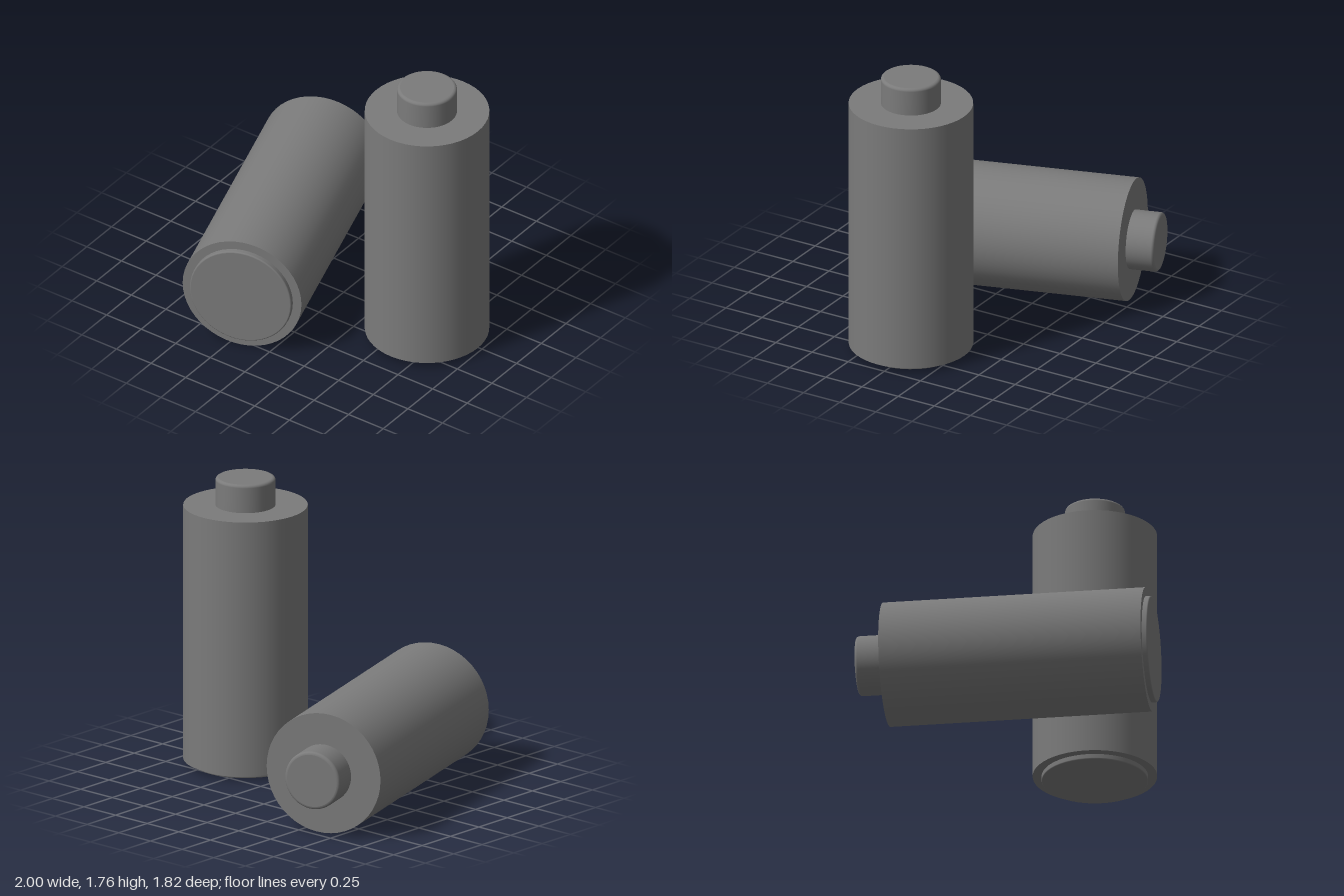
import * as THREE from 'three';
import { mergeGeometries } from 'three/addons/utils/BufferGeometryUtils.js';

const SIDES = 48;
const BODY_RADIUS = 0.367, BODY_BOTTOM = 0.032, BODY_TOP = 1.59;
const CAP_RADIUS = 0.177, CAP_TOP = 1.76, BASE_RADIUS = 0.314;

const material = new THREE.MeshStandardMaterial({ color: 0x7b7b7b });

// Disc from y0 to y1 with a rounded rim and a flat face at the y1 end (y1 may lie below y0)
function roundedDisc(radius, y0, y1, bevel) {
  const dir = Math.sign(y1 - y0);
  const points = [new THREE.Vector2(radius, y0)];
  for (let i = 0; i <= 4; i++) {
    const a = (i / 4) * Math.PI / 2;
    points.push(new THREE.Vector2(
      radius - bevel + bevel * Math.cos(a),
      y1 - dir * bevel * (1 - Math.sin(a))
    ));
  }
  if (dir < 0) points.reverse();
  const rim = new THREE.LatheGeometry(points, SIDES);
  const face = new THREE.CircleGeometry(radius - bevel, SIDES)
    .rotateX(-dir * Math.PI / 2)
    .translate(0, y1, 0);
  return mergeGeometries([rim, face]);
}

function part(name, geometry) {
  const mesh = new THREE.Mesh(geometry, material);
  mesh.name = name;
  return mesh;
}

// One battery standing on its negative end
function createBattery(name) {
  const battery = new THREE.Group();
  battery.name = name;

  const height = BODY_TOP - BODY_BOTTOM;
  const body = part('body', new THREE.CylinderGeometry(BODY_RADIUS, BODY_RADIUS, height, SIDES));
  body.position.y = BODY_BOTTOM + height / 2;

  battery.add(
    body,
    part('positiveTerminal', roundedDisc(CAP_RADIUS, BODY_TOP, CAP_TOP, 0.018)),
    part('negativeTerminal', roundedDisc(BASE_RADIUS, BODY_BOTTOM, 0, 0.008))
  );
  return battery;
}

export function createModel() {
  const model = new THREE.Group();
  model.name = 'batteries';

  const standing = createBattery('standingBattery');
  standing.position.set(0.633, 0, 0.043);

  // Lying on its side, negative end forward, turned about the vertical
  const lying = createBattery('lyingBattery');
  lying.rotation.set(-Math.PI / 2, 0.31, 0, 'YXZ');
  lying.position.set(-0.165, 0.368, 0.815);

  model.add(standing, lying);
  return model;
}
